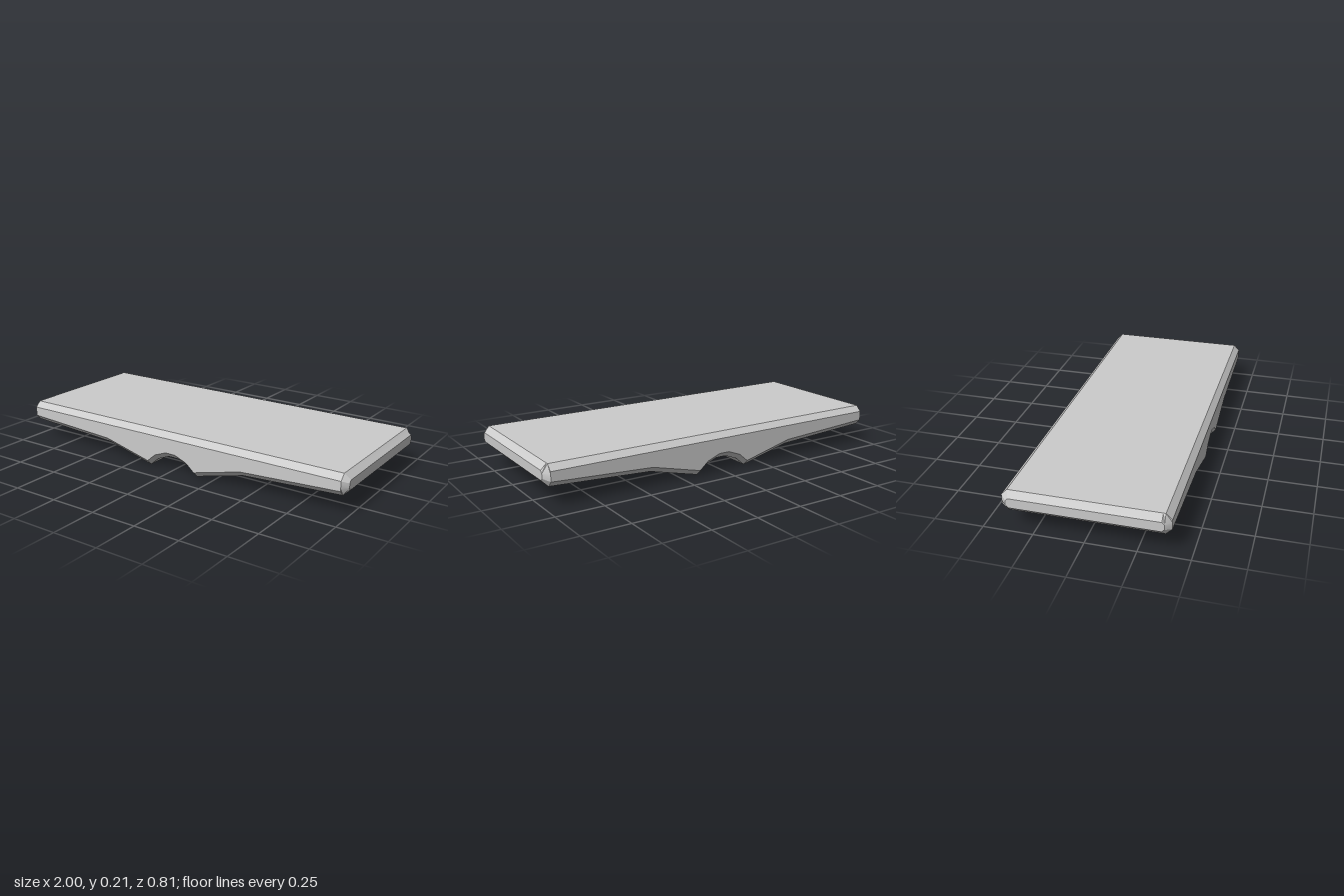
import * as THREE from 'three';
import { toCreasedNormals } from 'three/addons/utils/BufferGeometryUtils.js';

// Underside from the central groove out to the wing tip, [x, y]
const UNDERSIDE = [[0.03, 0.07], [0.1, 0.043], [0.15, 0], [0.43, 0.07], [0.97, 0.1]];
const BEVEL = 0.03, TOP = 0.21;

// Closed counter-clockwise outline: inset raises/lowers the edges, endX and the
// low/high pair set the upright end faces.
function outline(inset, endX, low, high) {
  const half = [
    ...UNDERSIDE.map(([x, y]) => [x, y + inset]),
    [endX, low], [endX, high], [0.97, TOP - inset],
  ];
  const mirrored = half.map(([x, y]) => [-x, y]).reverse();
  return [...half, ...mirrored].map(([x, y]) => new THREE.Vector2(x, y));
}

function slabGeometry() {
  const cap = outline(BEVEL, 0.97, 0.143, 0.167);
  const shoulder = outline(0, 1, 0.143, 0.167);
  const body = outline(0, 1, 0.13, 0.18);
  const sections = [
    [-0.405, cap], [-0.375, shoulder], [-0.363, body],
    [0.363, body], [0.375, shoulder], [0.405, cap],
  ];
  const n = cap.length;
  const positions = [], index = [];
  for (const [z, loop] of sections) {
    for (const p of loop) positions.push(p.x, p.y, z);
  }

  // Skin between neighbouring sections
  for (let i = 0; i < sections.length - 1; i++) {
    for (let j = 0; j < n; j++) {
      const k = (j + 1) % n;
      const a = i * n + j, b = i * n + k, c = b + n, d = a + n;
      index.push(a, b, c, a, c, d);
    }
  }

  // Back and front faces
  const front = (sections.length - 1) * n;
  for (const [a, b, c] of THREE.ShapeUtils.triangulateShape(cap, [])) {
    index.push(a, c, b, front + a, front + b, front + c);
  }

  const geometry = new THREE.BufferGeometry();
  geometry.setAttribute('position', new THREE.Float32BufferAttribute(positions, 3));
  geometry.setIndex(index);
  return toCreasedNormals(geometry, 0.48);
}

export function createModel() {
  const group = new THREE.Group();
  group.name = 'bevelledSlab';
  const material = new THREE.MeshStandardMaterial({ color: 0xcccccc });
  const slab = new THREE.Mesh(slabGeometry(), material);
  slab.name = 'groovedSlab';
  group.add(slab);
  return group;
}
